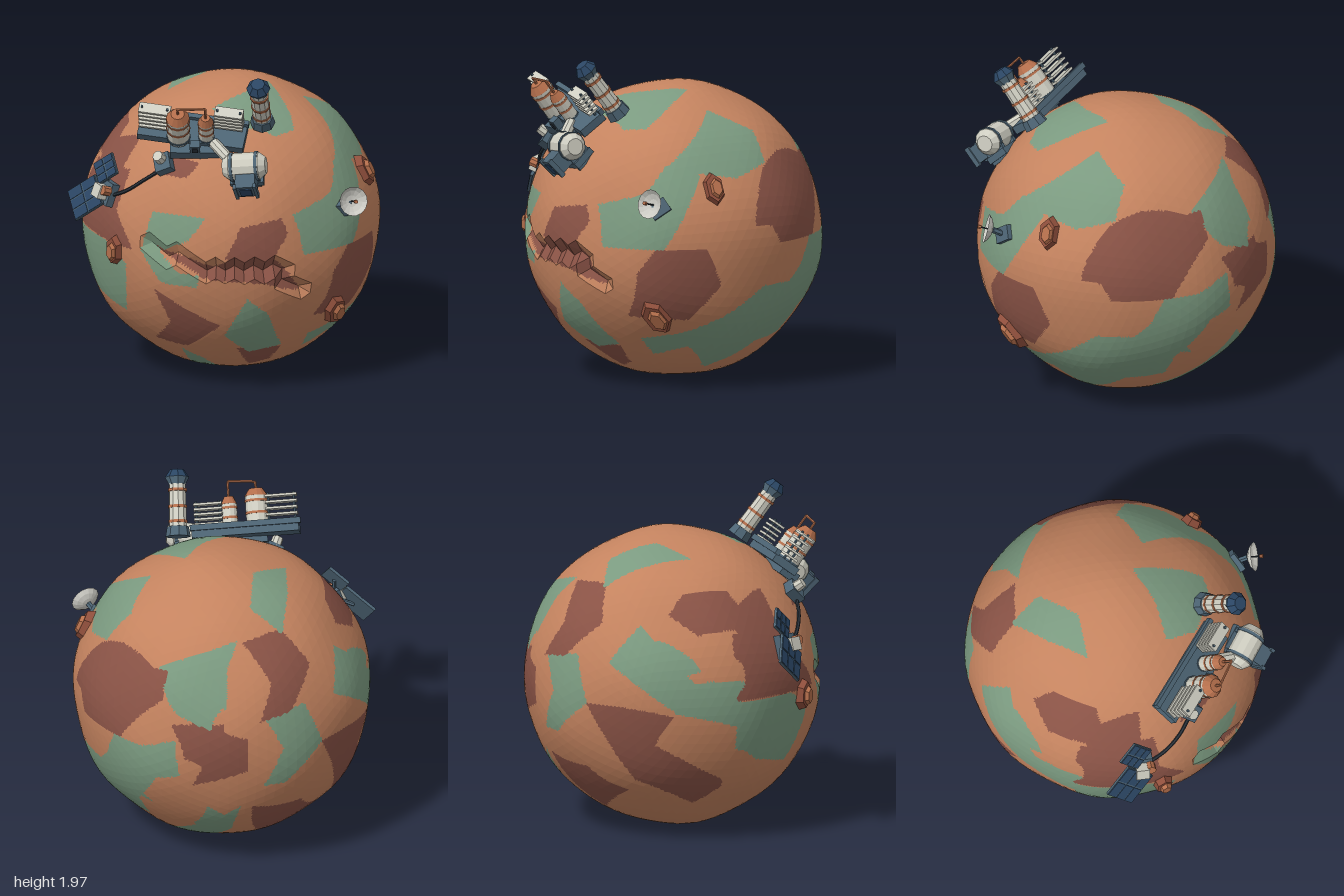
import * as THREE from 'three';

const V = (x, y, z) => new THREE.Vector3(x, y, z);
const CENTRE = V(0.037, 0.895, -0.035), R = 0.885, UP = V(0, 1, 0);

const paint = (name, color) => Object.assign(new THREE.MeshStandardMaterial({ color }), { name });
const sand = paint('sand', 0xc4835f), moss = paint('moss', 0x7b9a80), maroon = paint('maroon', 0x8a5346);
const rust = paint('rust', 0x8f4f3c), copper = paint('copper', 0xb56f4c), ivory = paint('ivory', 0xcfcec2);
const slate = paint('slate', 0x4d6474), navy = paint('navy', 0x2b4664), ink = paint('ink', 0x2a323b);
const dishWhite = paint('dish white', 0xcccbc4);
dishWhite.side = THREE.DoubleSide;

// Faceted mesh helper
function add(parent, name, geo, mat, pos = [0, 0, 0], rot = [0, 0, 0]) {
  const g = geo.index ? geo.toNonIndexed() : geo;
  g.computeVertexNormals();
  const m = new THREE.Mesh(g, mat);
  m.name = name;
  m.position.set(...pos);
  m.rotation.set(...rot);
  parent.add(m);
  return m;
}
const box = (w, h, d) => new THREE.BoxGeometry(w, h, d);
const cyl = (rt, rb, h, n = 10) => new THREE.CylinderGeometry(rt, rb, h, n);
function rod(parent, name, a, b, r, mat, n = 6) {
  const d = b.clone().sub(a);
  const m = add(parent, name, cyl(r, r, d.length(), n), mat, a.clone().add(b).multiplyScalar(0.5).toArray());
  m.quaternion.setFromUnitVectors(UP, d.normalize());
}
// Group with its own y along a given axis, spun about that axis
function mount(parent, name, pos, axis, spin = 0) {
  const g = new THREE.Group();
  g.name = name;
  g.position.copy(pos);
  g.quaternion.setFromUnitVectors(UP, axis.clone().normalize());
  g.rotateY(spin);
  parent.add(g);
  return g;
}
const radial = (p) => p.clone().sub(CENTRE).normalize();

// Ground patches: outlines in hundredths of a unit, laid onto the globe along an azimuth and elevation
const frontPatches = { az: 0, el: 0, list: [
  [maroon, [-44, 6, -24, 1, -5, -4, 2, 2, 29, 1, 38, -10, 44, -22, 34, -19, 24, -14, -13, -11, -20, -6]],
  [moss, [-44, 26, -12, 26, -22, 12, -40, 2, -27, -9, -15, -9, -17, -17, -39, -16, -51, 2]],
  [maroon, [9, 21, 33, 25, 37, 16, 29, 1, 0, 2, 5, 12]],
  [maroon, [-43, -21, -21, -34, -3, -43, -24, -61, -43, -59, -33, -43]],
  [moss, [13, -24, 25, -35, 32, -61, 13, -65, -1, -50]],
  [maroon, [6, -61, 32, -62, 24, -74, 12, -78]],
  [moss, [-89, 1, -73, 1, -60, -9, -60, -43, -77, -37, -89, -20]],
  [maroon, [-89, 2, -82, 40, -58, 45, -66, 22, -56, 1]],
  [moss, [-27, -64, -14, -72, -5, -84, -22, -82]],
  [maroon, [-30, 58, -16, 55, -24, 47, -45, 47]]] };
const sidePatches = { az: 90, el: 0, list: [
  [moss, [-42, 48, -1, 77, 22, 65, 22, 48, -1, 41, -23, 45, -49, 1, -75, 1, -74, 26, -54, 34]],
  [maroon, [21, 46, 64, 48, 70, 32, 57, 1, 25, 1, 13, 24]],
  [maroon, [-53, 1, -25, 1, -15, -21, -30, -43, -60, -41, -61, -13]],
  [moss, [53, 1, 74, 1, 73, -19, 61, -24, 61, -43, 46, -29, 25, -45, 15, -64, -4, -77, -23, -61, -38, -67,
    -49, -56, -28, -51, -7, -40, 15, -24, 41, -24]],
  [moss, [68, 58, 78, 50, 85, 18, 76, 26, 65, 42]]] };
const topPatches = { az: 0, el: 90, list: [
  [maroon, [43, 64, 66, 61, 84, 34, 88, 6, 74, 19]],
  [moss, [-30, 54, -12, 44, -17, 16, -38, 1, -36, 29]],
  [maroon, [-82, -15, -70, -12, -52, -37, -70, -47]],
  [moss, [-63, 56, -71, 34, -85, 11, -83, 26, -75, 44]],
  [moss, [22, -2, 36, -28, 39, -41, 29, -50, 4, -51, -10, -38, 9, -22]]] };
const backLeftPatches = { az: 215, el: 25, list: [
  [maroon, [-31, 35, -6, 35, 3, 10, -19, -13, -38, -13, -26, 7]],
  [moss, [-79, 27, -69, 35, -33, 37, -45, 23, -53, 0, -69, 20]],
  [maroon, [-76, 0, -56, -8, -59, -37, -73, -23]],
  [moss, [-36, -10, -9, -11, 1, -38, -23, -55, -36, -53, -26, -33]],
  [maroon, [41, 38, 57, 47, 77, 30, 57, 15, 39, 23]],
  [moss, [27, 13, 41, 3, 61, -13, 81, -3, 77, -30, 54, -33, 14, -13]],
  [maroon, [1, -38, 52, -35, 41, -53, 64, -60, 51, -77, 24, -73]],
  [moss, [-59, -57, -45, -70, -38, -79, -55, -70]]] };
const belowPatches = { az: 145, el: -25, list: [
  [moss, [-23, 34, 15, 45, 18, 23, 3, 20, -15, -7, -14, -27, -35, -34, -42, -60, -69, -44, -55, -7]],
  [maroon, [21, 60, 55, 40, 55, 20, 25, 16, 35, 36]],
  [moss, [-11, -46, 31, -17, 48, -7, 35, -34, 15, -54, 18, -70, -9, -66]],
  [maroon, [53, -10, 71, -24, 68, -47, 41, -54]]] };
const projections = [frontPatches, sidePatches, topPatches, backLeftPatches, belowPatches].map(({ az, el, list }) => {
  const a = az * Math.PI / 180, e = el * Math.PI / 180, s = Math.sin(a), c = Math.cos(a);
  return { list, right: V(c, 0, -s), up: V(-s * Math.sin(e), Math.cos(e), -c * Math.sin(e)),
    out: V(s * Math.cos(e), Math.sin(e), c * Math.cos(e)) };
});
function inside(p, x, y) {
  let hit = false;
  for (let i = 0, j = p.length - 2; i < p.length; j = i, i += 2)
    if ((p[i + 1] > y) !== (p[j + 1] > y) && x < (p[j] - p[i]) * (y - p[i + 1]) / (p[j + 1] - p[i + 1]) + p[i]) hit = !hit;
  return hit;
}
function groundAt(p) {
  for (const { list, right, up, out } of projections) {
    if (p.dot(out) < 0.1) continue;
    const x = p.dot(right) * 100, y = p.dot(up) * 100;
    for (const [mat, outline] of list) if (inside(outline, x, y)) return mat;
  }
  return sand;
}

// Globe: gently uneven facets with a canyon cut across the front
const canyon = [[-0.44, 0.07], [-0.24, -0.02], [-0.05, -0.06], [0.15, -0.05], [0.32, -0.07], [0.43, -0.2]];
function relief(d) {
  let r = R + 0.007 * Math.sin(7 * d.x + 1) * Math.sin(8 * d.y) + 0.007 * Math.sin(9 * d.z + 2 * d.y) * Math.cos(6 * d.x - 1);
  if (d.z > 0) for (let i = 1; i < canyon.length; i++) {
    const [ax, ay] = canyon[i - 1], ex = canyon[i][0] - ax, ey = canyon[i][1] - ay;
    const px = d.x * R - ax, py = d.y * R - ay;
    const t = THREE.MathUtils.clamp((px * ex + py * ey) / (ex * ex + ey * ey), 0, 1);
    if (Math.hypot(px - t * ex, py - t * ey) < 0.036) return R - 0.05;
  }
  return r;
}
function buildGlobe(root) {
  const src = new THREE.IcosahedronGeometry(1, 15).attributes.position, n = 4;
  const parts = new Map([[sand, []], [moss, []], [maroon, []]]);
  const corner = (i) => { const d = V().fromBufferAttribute(src, i).normalize(); return d.multiplyScalar(relief(d)); };
  for (let f = 0; f < src.count; f += 3) {
    const a = corner(f), b = corner(f + 1).sub(a), c = corner(f + 2).sub(a);
    const at = (i, j) => a.clone().addScaledVector(b, i / n).addScaledVector(c, j / n);
    const tri = (...t) => {
      const mid = t[0].clone().add(t[1]).add(t[2]).divideScalar(3);
      const list = parts.get(groundAt(mid));
      t.forEach((p) => list.push(p.x, p.y, p.z));
    };
    for (let i = 0; i < n; i++) for (let j = 0; j < n - i; j++) {
      tri(at(i, j), at(i + 1, j), at(i, j + 1));
      if (i + j < n - 1) tri(at(i + 1, j), at(i + 1, j + 1), at(i, j + 1));
    }
  }
  for (const [mat, list] of parts) {
    const g = new THREE.BufferGeometry().setAttribute('position', new THREE.Float32BufferAttribute(list, 3));
    add(root, mat.name + 'Ground', g, mat, CENTRE.toArray());
  }
}

// Station: local y leans out of the slope, local x runs sideways
function buildStation(root) {
  const s = new THREE.Group();
  s.name = 'station';
  s.position.set(0, 1.6, 0.53);
  s.rotation.x = 0.66;
  root.add(s);
  add(s, 'platform', box(0.64, 0.05, 0.17), slate, [-0.17, 0.01, 0], [0, -0.15, 0]);
  add(s, 'platformRim', box(0.66, 0.035, 0.03), slate, [-0.16, 0.045, -0.085], [0, -0.15, 0]);
  add(s, 'platformFoot', box(0.3, 0.06, 0.12), slate, [-0.15, -0.02, 0.09]);
  add(s, 'controlBox', box(0.06, 0.07, 0.05), slate, [-0.15, 0.04, 0.13]);
  add(s, 'controlScreen', box(0.035, 0.035, 0.008), ink, [-0.15, 0.045, 0.158]);
  // Storage tanks
  for (const [x, r, h] of [[-0.25, 0.068, 0.21], [-0.085, 0.046, 0.17]]) {
    add(s, 'tank', cyl(r, r, h, 12), ivory, [x, 0.02 + h / 2, 0.05]);
    add(s, 'tankCap', cyl(r * 0.6, r * 1.04, 0.045, 12), copper, [x, h + 0.04, 0.05]);
    for (const k of [0.1, 0.5, 0.85]) add(s, 'tankBand', cyl(r * 1.06, r * 1.06, 0.014, 12), k < 0.2 ? slate : copper, [x, 0.02 + h * k, 0.05]);
  }
  const pipe = [V(-0.25, 0.24, 0.05), V(-0.25, 0.315, 0.05), V(-0.085, 0.325, 0.05), V(-0.085, 0.2, 0.05)];
  for (let i = 1; i < 4; i++) rod(s, 'pipe', pipe[i - 1], pipe[i], 0.008, copper);
  // Radiator stacks
  for (const [x, w, top] of [[-0.39, 0.19, 0.215], [0.05, 0.17, 0.185]]) {
    for (let i = 0; i < 5; i++) add(s, 'radiatorFin', box(w, 0.014, 0.07), ivory, [x, 0.065 + (top - 0.065) * i / 4, -0.02], [0, -0.15, 0]);
    for (const e of [-1, 1]) add(s, 'radiatorPost', cyl(0.008, 0.008, top, 6), slate, [x + e * w * 0.4, top / 2 + 0.02, -0.02 + e * w * 0.06]);
  }
  // Telescope tower
  const t = new THREE.Group();
  t.name = 'telescope';
  t.position.set(0.245, 0, -0.09);
  t.rotation.z = 0.05;
  s.add(t);
  add(t, 'telescopeFoot', cyl(0.065, 0.075, 0.06, 8), slate, [0, 0.02, 0]);
  add(t, 'telescopeTube', cyl(0.05, 0.055, 0.28, 10), ivory, [0, 0.18, 0]);
  for (const y of [0.08, 0.17, 0.27]) add(t, 'telescopeBand', cyl(0.058, 0.058, 0.016, 10), copper, [0, y, 0]);
  add(t, 'telescopeHood', cyl(0.072, 0.05, 0.045, 8), slate, [0, 0.325, 0]);
  add(t, 'telescopeCap', cyl(0.042, 0.072, 0.045, 8), navy, [0, 0.37, 0]);
}

function buildHabitat(root) {
  const h = new THREE.Group();
  h.name = 'habitat';
  h.position.set(0.15, 1.47, 0.76);
  h.rotation.set(0.75, 0, 0.15);
  root.add(h);
  const lie = [0, 0, Math.PI / 2];
  add(h, 'barrel', cyl(0.082, 0.082, 0.18, 12), ivory, [0, 0, 0], lie);
  for (const e of [-1, 1]) {
    add(h, 'barrelShoulder', cyl(e > 0 ? 0.05 : 0.082, e > 0 ? 0.082 : 0.05, 0.04, 12), ivory, [-e * 0.11, 0, 0], lie);
    add(h, 'barrelBand', cyl(0.088, 0.088, 0.018, 12), slate, [e * 0.075, 0, 0], lie);
    add(h, 'landingLeg', box(0.025, 0.12, 0.13), slate, [e * 0.07, -0.08, 0]);
  }
  add(h, 'cradle', box(0.2, 0.04, 0.14), slate, [0, -0.1, 0]);
  add(h, 'airlock', box(0.12, 0.11, 0.11), slate, [0.01, -0.02, 0.11]);
  add(h, 'airlockDoor', box(0.07, 0.07, 0.008), navy, [0.01, -0.02, 0.169]);
  for (const e of [-1, 1]) add(h, 'airlockFrame', box(0.02, 0.13, 0.03), slate, [0.01 + e * 0.06, -0.02, 0.16]);
  rod(root, 'corridor', V(-0.04, 1.57, 0.62), V(0.07, 1.49, 0.74), 0.034, ivory, 8);
}

function buildSolarArray(root) {
  const n = V(-0.6, 0.4, 0.65).normalize(), u = V(0.17, 0.135, 0.074).normalize(), v = n.clone().cross(u).normalize();
  const basis = new THREE.Matrix4().makeBasis(u, v, n);
  const foot = V(-0.68, 1.19, 0.43);
  for (const [c, w, d] of [[V(-0.81, 1.15, 0.41), 0.22, 0.2], [V(-0.69, 1.33, 0.4), 0.15, 0.14]]) {
    const p = new THREE.Group();
    p.name = 'solarPanel';
    p.position.copy(c);
    p.quaternion.setFromRotationMatrix(basis);
    root.add(p);
    add(p, 'panelFrame', box(w, d, 0.016), slate);
    for (const i of [-1, 1]) for (const j of [-1, 0, 1])
      add(p, 'solarCell', box(w / 2 - 0.01, d / 3 - 0.008, 0.006), navy, [i * w / 4, j * d / 3, 0.009]);
    rod(root, 'panelArm', foot, c.clone().addScaledVector(n, -0.012), 0.012, slate);
  }
  const b = mount(root, 'solarMount', foot, radial(foot), 0.5);
  add(b, 'mountBase', box(0.14, 0.05, 0.13), slate);
  add(b, 'mountBody', box(0.08, 0.07, 0.08), ivory, [0, 0.05, 0]);
  add(b, 'mountMotor', cyl(0.03, 0.03, 0.05, 8), copper, [0.02, 0.05, 0.05]);
  // Junction box and the cable to the array
  const j = V(-0.33, 1.42, 0.59), jb = mount(root, 'junction', j, radial(j));
  add(jb, 'junctionBox', box(0.1, 0.1, 0.11), slate);
  add(jb, 'junctionDrum', cyl(0.032, 0.036, 0.06, 8), ivory, [0, 0.07, -0.02]);
  const path = [V(-0.36, 1.39, 0.61), V(-0.46, 1.32, 0.59), V(-0.56, 1.24, 0.54), V(-0.66, 1.18, 0.46)];
  add(root, 'cable', new THREE.TubeGeometry(new THREE.CatmullRomCurve3(path), 12, 0.011, 6), ink);
}

function buildDish(root) {
  const foot = V(0.735, 1.15, 0.46), head = V(0.775, 1.185, 0.52), axis = V(0.35, 0.25, 0.9);
  const b = mount(root, 'dishMount', foot, radial(foot));
  add(b, 'dishBase', box(0.09, 0.05, 0.12), slate);
  rod(root, 'dishArm', foot, head, 0.018, slate);
  const d = mount(root, 'dish', head, axis);
  const bowl = [[0, 0], [0.035, 0.006], [0.065, 0.02], [0.088, 0.042]].map((p) => new THREE.Vector2(...p));
  add(d, 'dishBowl', new THREE.LatheGeometry(bowl, 14), dishWhite);
  add(d, 'feedMast', cyl(0.005, 0.005, 0.08, 5), ink, [0, 0.04, 0]);
  add(d, 'feedHorn', cyl(0.012, 0.012, 0.02, 6), copper, [0, 0.085, 0]);
}

// Boulders: long six-sided outcrops with a lighter cap
function buildBoulders(root) {
  const spots = [[V(0.82, 0.375, 0.18), V(0, 1, 0.1), 0.11], [V(0.65, -0.42, 0.49), V(0.1, 0.7, 0.75), 0.135], [V(-0.68, -0.02, 0.6), V(0.1, 1, 0), 0.1]];
  for (const [d, along, len] of spots) {
    const y = d.clone().normalize(), x = along.clone().cross(y).normalize(), z = x.clone().cross(y);
    const g = new THREE.Group();
    g.name = 'boulder';
    g.position.copy(CENTRE).addScaledVector(y, R);
    g.quaternion.setFromRotationMatrix(new THREE.Matrix4().makeBasis(x, y, z));
    g.scale.set(len * 0.62, 1, len);
    root.add(g);
    add(g, 'boulderBase', cyl(0.8, 1.05, 0.07, 6), rust, [0, 0, 0]);
    add(g, 'boulderCap', cyl(0.45, 0.6, 0.025, 6), copper, [0.1, 0.045, 0.05]);
  }
}

export function createModel() {
  const root = new THREE.Group();
  root.name = 'planetOutpost';
  [buildGlobe, buildStation, buildHabitat, buildSolarArray, buildDish, buildBoulders].forEach((build) => build(root));
  return root;
}
